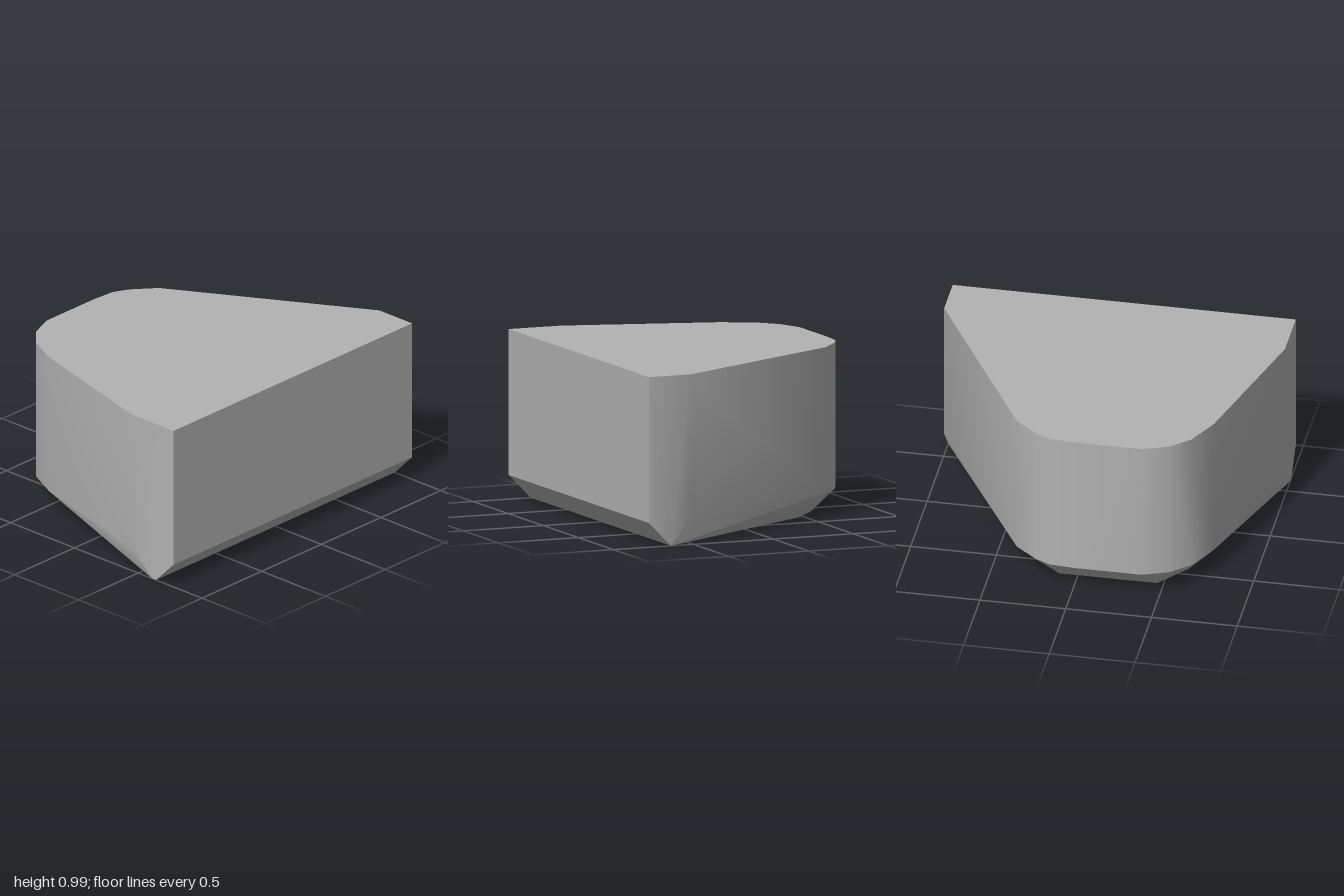
import * as THREE from 'three';
import { toCreasedNormals } from 'three/addons/utils/BufferGeometryUtils.js';
import { ConvexGeometry } from 'three/addons/geometries/ConvexGeometry.js';

const TOP = 0.985;
const SHOULDER = 0.14; // height where the walls start to taper in

// plan outline of the walls, as [x, z]
const wallOutline = [
  [0.777, -1], [0.52, -1], [-0.61, -0.36], [-0.72, -0.23], [-0.765, -0.14], [-0.777, 0],
  [-0.777, 0.4], [-0.72, 0.55], [-0.62, 0.66], [-0.43, 0.755], [0.45, 1], [0.777, 1],
];

// smaller outline of the underside
const baseOutline = [
  [0.64, -1], [-0.47, -0.3], [-0.627, -0.11], [-0.627, 0.46], [-0.44, 0.61], [0.61, 1], [0.64, 1],
];

const ring = (outline, y) => outline.map(([x, z]) => new THREE.Vector3(x, y, z));

export function createModel() {
  const group = new THREE.Group();
  group.name = 'wedgeBlock';

  const grey = new THREE.MeshStandardMaterial({ color: 0xb2b2b2 });
  grey.name = 'grey';

  // convex skin over the top, shoulder and base outlines
  const hull = new ConvexGeometry([
    ...ring(wallOutline, TOP),
    ...ring(wallOutline, SHOULDER),
    ...ring(baseOutline, 0),
  ]);

  // rounded sides stay smooth, top, flat side and underside stay sharp
  const body = new THREE.Mesh(toCreasedNormals(hull, THREE.MathUtils.degToRad(40)), grey);
  body.name = 'body';
  group.add(body);
  return group;
}
